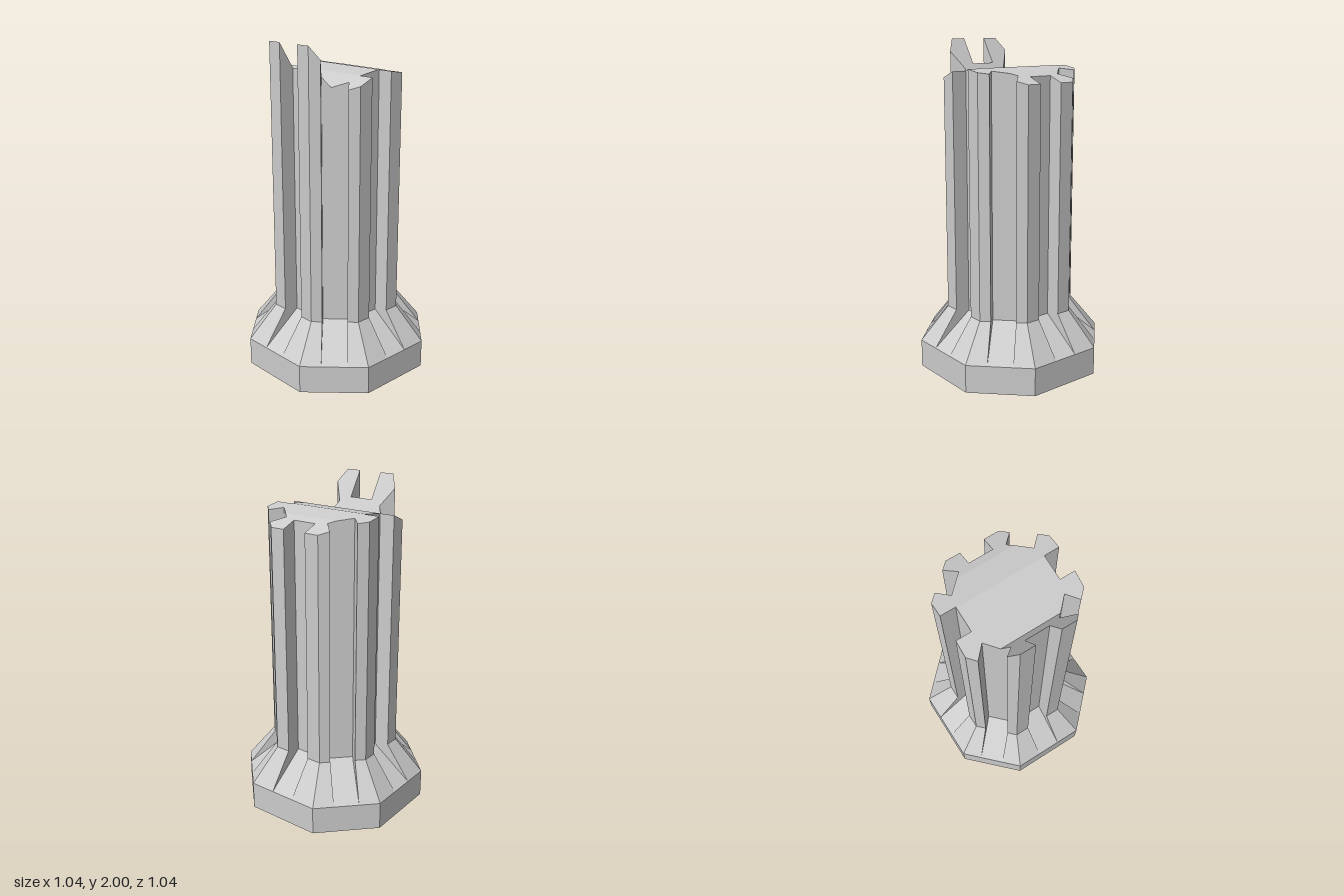
import * as THREE from 'three';

const HALF = 0.075; // half width of a flute
const PLINTH_Y = 0.17, FLUTE_Y = 0.355, SHAFT_Y = 0.38;
// broken top: height along x
const TOP = [[-0.365, 2], [-0.215, 1.76], [-0.075, 1.82], [0.07, 1.84], [0.22, 1.815], [0.365, 1.76]];

function topY(x) {
  for (let i = 1; i < TOP.length; i++) {
    const [x0, y0] = TOP[i - 1], [x1, y1] = TOP[i];
    if (x <= x1) return y0 + (y1 - y0) * Math.max(0, (x - x0) / (x1 - x0));
  }
  return TOP[TOP.length - 1][1];
}

// plan point [x, z] on side k, at distance r from the axis and t along the side
function plan(k, r, t) {
  const a = k * Math.PI / 4, s = Math.sin(a), c = Math.cos(a);
  return [r * s + t * c, r * c - t * s];
}

// corner between side k and the next one
const corner = (k, r, h) => (k % 2 ? plan(k + 1, r, -h) : plan(k, r, h));
const shaftCorner = k => corner(k, 0.363, 0.165);
const baseCorner = k => corner(k, 0.52, 0.235);

// distances of flute back, shaft face and plinth face; diagonal sides differ slightly
const radii = k => (k % 2 ? { inner: 0.282, face: 0.373, base: 0.534 } : { inner: 0.27, face: 0.363, base: 0.52 });

const at = (p, y) => [p[0], y, p[1]];
const lerp = (a, b, t) => a.map((v, i) => v + (b[i] - v) * t);

// add a convex polygon as a triangle fan
function face(out, ...pts) {
  for (let i = 2; i < pts.length; i++) out.push(...pts[0], ...pts[i - 1], ...pts[i]);
}

function makeMesh(name, positions) {
  const g = new THREE.BufferGeometry();
  g.setAttribute('position', new THREE.Float32BufferAttribute(positions, 3));
  g.computeVertexNormals();
  const mesh = new THREE.Mesh(g, new THREE.MeshStandardMaterial({ color: 0xcccccc, flatShading: true }));
  mesh.name = name;
  return mesh;
}

// keep the part of a convex plan polygon where sign * (x - limit) >= 0
function clip(poly, limit, sign) {
  const res = [];
  poly.forEach((a, i) => {
    const b = poly[(i + 1) % poly.length];
    const da = sign * (a[0] - limit), db = sign * (b[0] - limit);
    if (da >= 0) res.push(a);
    if (da * db < 0) res.push(lerp(a, b, da / (da - db)));
  });
  return res;
}

// cap a convex plan polygon, folded at every break of the top profile
function cap(out, poly) {
  const cuts = [-1, ...TOP.slice(1, -1).map(p => p[0]), 1];
  for (let i = 1; i < cuts.length; i++) {
    const strip = clip(clip(poly, cuts[i - 1], 1), cuts[i], -1);
    if (strip.length > 2) face(out, ...strip.map(p => at(p, topY(p[0]))));
  }
}

// upright wall from a to b (with bottom heights), following the broken top
function wall(out, a, b, ya, yb) {
  const ts = [0, 1];
  for (const [x] of TOP) {
    const t = (x - a[0]) / (b[0] - a[0]);
    if (t > 0.001 && t < 0.999) ts.push(t);
  }
  ts.sort((m, n) => m - n);
  for (let i = 1; i < ts.length; i++) {
    const p = lerp(a, b, ts[i - 1]), q = lerp(a, b, ts[i]);
    face(out, at(p, ya + (yb - ya) * ts[i - 1]), at(q, ya + (yb - ya) * ts[i]),
      at(q, topY(q[0])), at(p, topY(p[0])));
  }
}

export function createModel() {
  const group = new THREE.Group();
  group.name = 'brokenColumn';
  const plinth = [], flare = [], shaft = [], core = [];

  for (let k = 0; k < 8; k++) {
    const r = radii(k), n = radii(k + 1);
    const faceL = plan(k, r.face, -HALF), faceR = plan(k, r.face, HALF);
    const inL = plan(k, r.inner, -HALF), inR = plan(k, r.inner, HALF);
    const baseL = plan(k, r.base, -HALF), baseR = plan(k, r.base, HALF);
    const nextFace = plan(k + 1, n.face, -HALF), nextIn = plan(k + 1, n.inner, -HALF);
    const nextBase = plan(k + 1, n.base, -HALF);
    const sc = shaftCorner(k), bc = baseCorner(k), prev = baseCorner(k + 7);

    // plinth side
    face(plinth, at(prev, 0), at(bc, 0), at(bc, PLINTH_Y), at(prev, PLINTH_Y));

    // sloping foot: flute floor, flute flanks, and the two rib faces
    face(flare, at(baseL, PLINTH_Y), at(baseR, PLINTH_Y), at(inR, FLUTE_Y), at(inL, FLUTE_Y));
    face(flare, at(baseL, PLINTH_Y), at(inL, FLUTE_Y), at(faceL, SHAFT_Y));
    face(flare, at(baseR, PLINTH_Y), at(faceR, SHAFT_Y), at(inR, FLUTE_Y));
    face(flare, at(baseR, PLINTH_Y), at(bc, PLINTH_Y), at(sc, SHAFT_Y), at(faceR, SHAFT_Y));
    face(flare, at(bc, PLINTH_Y), at(nextBase, PLINTH_Y), at(nextFace, SHAFT_Y), at(sc, SHAFT_Y));

    // shaft: flute walls, then the rib around the corner
    wall(shaft, faceL, inL, SHAFT_Y, FLUTE_Y);
    wall(shaft, inL, inR, FLUTE_Y, FLUTE_Y);
    wall(shaft, inR, faceR, FLUTE_Y, SHAFT_Y);
    wall(shaft, faceR, sc, SHAFT_Y, SHAFT_Y);
    wall(shaft, sc, nextFace, SHAFT_Y, SHAFT_Y);

    // broken top of the rib
    cap(shaft, [inR, faceR, sc, nextFace, nextIn]);
    core.push(inL, inR);
  }
  // broken top of the core, and the underside
  cap(shaft, core);
  const ring = Array.from({ length: 8 }, (_, k) => at(baseCorner(k), 0));
  face(plinth, ...ring.reverse());

  group.add(makeMesh('plinth', plinth), makeMesh('flaredFoot', flare), makeMesh('flutedShaft', shaft));
  return group;
}
